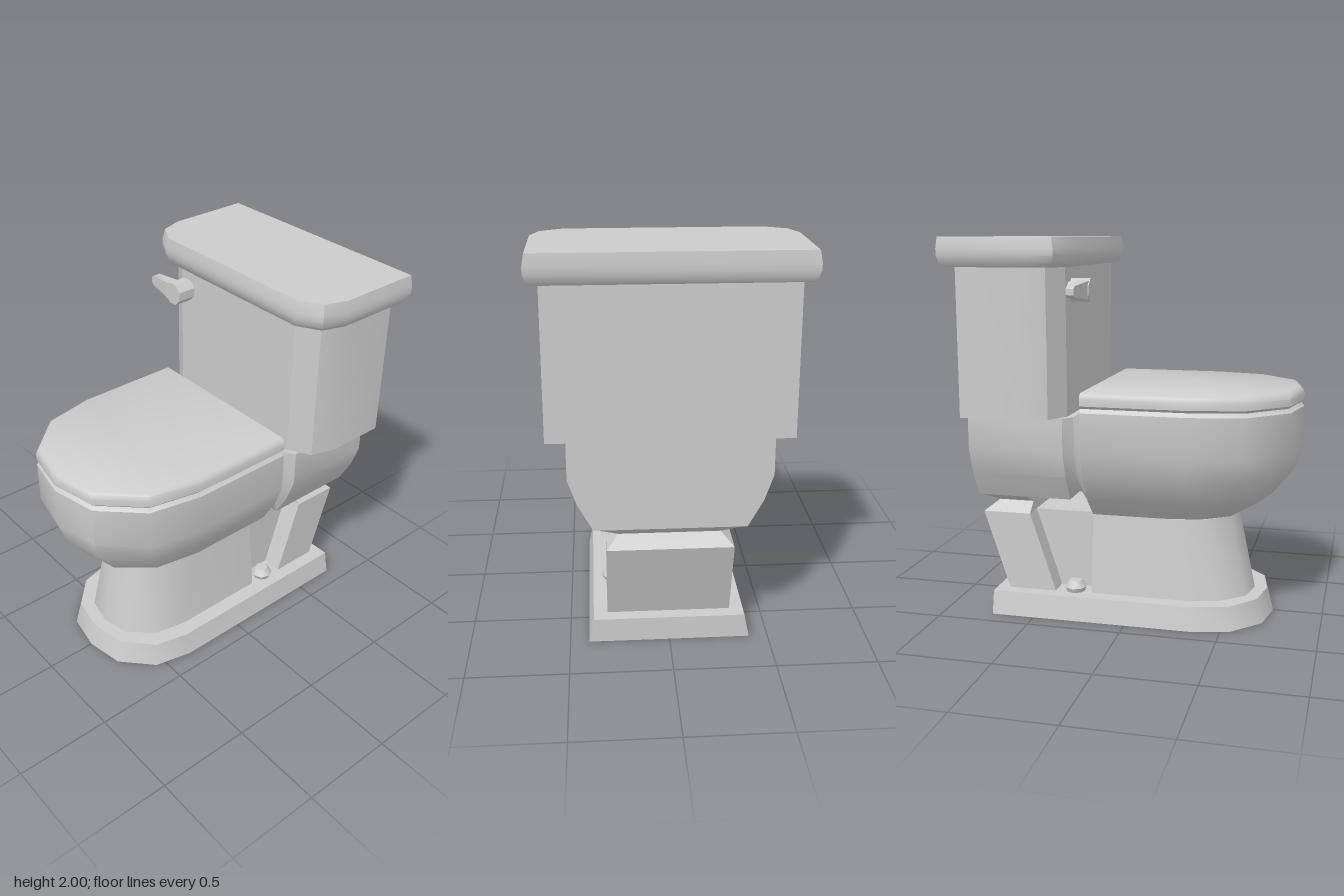
import * as THREE from 'three';
import { toCreasedNormals } from 'three/addons/utils/BufferGeometryUtils.js';

const material = new THREE.MeshStandardMaterial({ color: 0xcccccc });

// Closed solid through rings of [x, y, z] points, capped at both ends
function loft(rings, crease = 0.7) {
  const n = rings[0].length, pos = [];
  const tri = (a, b, c) => pos.push(...a, ...b, ...c);
  for (let r = 0; r < rings.length - 1; r++) {
    for (let i = 0; i < n; i++) {
      const j = (i + 1) % n, a = rings[r], b = rings[r + 1];
      tri(a[i], b[j], a[j]);
      tri(a[i], b[i], b[j]);
    }
  }
  const cap = (ring, flip) => {
    const c = [0, 1, 2].map(k => ring.reduce((s, p) => s + p[k], 0) / n);
    ring.forEach((p, i) => {
      const q = ring[(i + 1) % n];
      flip ? tri(c, q, p) : tri(c, p, q);
    });
  };
  cap(rings[0], false);
  cap(rings[rings.length - 1], true);
  // Turn the faces outward if the rings run the other way round
  let volume = 0;
  const v = i => new THREE.Vector3().fromArray(pos, i);
  for (let i = 0; i < pos.length; i += 9) volume += v(i).dot(v(i + 3).cross(v(i + 6)));
  if (volume < 0) {
    for (let i = 0; i < pos.length; i += 9) {
      for (let k = 0; k < 3; k++) [pos[i + 3 + k], pos[i + 6 + k]] = [pos[i + 6 + k], pos[i + 3 + k]];
    }
  }
  const g = new THREE.BufferGeometry();
  g.setAttribute('position', new THREE.Float32BufferAttribute(pos, 3));
  return toCreasedNormals(g, crease);
}

// Mirrors a half outline (from +x side) across x = 0
const mirror = half => [...half, ...half.filter(p => p[0] > 0).reverse().map(([x, y, z]) => [-x, y, z])];

// Horizontal outline: square back, faceted round front
function roundFront(y, w, back, shoulder, front) {
  const d = front - shoulder;
  return mirror([
    [w, y, back], [w, y, shoulder], [w * 0.885, y, shoulder + d * 0.52],
    [w * 0.5, y, shoulder + d * 0.905], [0, y, front],
  ]);
}

// Horizontal outline of the tank: square back, softened front corners
const tankRing = (y, w, back, front) => mirror([
  [w, y, back], [w, y, front - 0.185], [w - 0.04, y, front - 0.065], [w - 0.155, y, front],
]);

const rect = (y, w, back, front) => mirror([[w, y, back], [w, y, front]]);

export function createModel() {
  const model = new THREE.Group();
  const add = (name, geometry, x = 0, y = 0, z = 0) => {
    const mesh = new THREE.Mesh(geometry, material);
    mesh.name = name;
    mesh.position.set(x, y, z);
    model.add(mesh);
    return mesh;
  };

  // Foot and pedestal
  add('basePlinth', loft([
    roundFront(0, 0.405, -0.73, 0.35, 0.735),
    roundFront(0.125, 0.38, -0.73, 0.35, 0.70),
  ]));
  add('pedestal', loft([
    roundFront(0.12, 0.30, -0.205, 0.30, 0.635),
    roundFront(0.55, 0.255, -0.205, 0.22, 0.545),
  ]));
  add('pedestalCore', loft([rect(0.12, 0.2, -0.5, -0.19), rect(0.545, 0.2, -0.6, -0.19)]));
  add('rearSupport', loft([
    rect(0.12, 0.31, -0.66, -0.40),
    rect(0.545, 0.31, -0.80, -0.54),
    rect(0.60, 0.25, -0.73, -0.54),
  ], 0.3));

  // Bowl: [y, half width, shoulder z, front z]
  add('bowl', loft([
    [0.545, 0.25, 0.17, 0.54], [0.66, 0.37, 0.27, 0.72], [0.79, 0.445, 0.32, 0.825],
    [0.92, 0.49, 0.35, 0.87], [1.135, 0.49, 0.35, 0.87], [1.148, 0.478, 0.345, 0.855],
    [1.162, 0.47, 0.34, 0.845],
  ].map(([y, w, s, f]) => roundFront(y, w, -0.205, s, f))));

  // Closed lid with rounded rim
  add('lid', loft([
    [1.156, 0.476, 0.855], [1.17, 0.49, 0.87], [1.205, 0.49, 0.87], [1.225, 0.482, 0.86], [1.235, 0.468, 0.845],
  ].map(([y, w, f]) => roundFront(y, w, -0.205, 0.35, f))));

  for (const s of [-1, 1]) {
    add('hinge', new THREE.BoxGeometry(0.2, 0.04, 0.04), s * 0.23, 1.135, -0.215);
  }

  // Body under the tank, with a groove where it joins the bowl
  const bodyRing = (z, inset, top, bottom) => mirror([
    [0.49 - inset, top, z], [0.49 - inset, 0.92, z], [0.445 - inset, 0.79, z], [0.37 - inset, bottom, z],
  ]);
  add('tankSupport', loft([
    bodyRing(-0.2, 0, 1.14, 0.655),
    bodyRing(-0.25, 0.045, 1.105, 0.70),
    bodyRing(-0.295, 0, 1.105, 0.655),
    bodyRing(-0.80, 0, 1.105, 0.655),
  ]));
  add('supportNeck', loft([rect(0.66, 0.37, -0.80, -0.54), rect(0.60, 0.25, -0.73, -0.54)], 0.3));

  // Tank and its cover
  add('tank', loft([tankRing(1.105, 0.587, -0.80, -0.285), tankRing(1.87, 0.587, -0.80, -0.285)], 0.5));
  add('tankCover', loft([
    [1.855, 0.622, -0.845, -0.25], [1.875, 0.638, -0.86, -0.235], [1.91, 0.648, -0.87, -0.225],
    [1.945, 0.648, -0.87, -0.225], [2.0, 0.638, -0.865, -0.235],
  ].map(([y, w, b, f]) => tankRing(y, w, b, f))));

  // Flush lever: octagonal knob, stem and tapered arm
  const disc = (r, depth) => toCreasedNormals(
    new THREE.CylinderGeometry(r, r, depth, 8).rotateY(Math.PI / 8).rotateX(Math.PI / 2), 0.5);
  add('leverKnob', disc(0.062, 0.1), -0.37, 1.74, -0.217);
  add('leverStem', disc(0.042, 0.06), -0.37, 1.74, -0.275);
  const armRing = (x, h, back, front) => [
    [x, 1.74 - h, back], [x, 1.74 + h, back], [x, 1.74 + h, front], [x, 1.74 - h, front],
  ];
  add('leverArm', loft([
    armRing(-0.585, 0.015, -0.235, -0.195), armRing(-0.57, 0.028, -0.235, -0.194),
    armRing(-0.42, 0.045, -0.235, -0.172), armRing(-0.37, 0.05, -0.235, -0.17),
  ]));

  // Floor bolt caps
  const boltProfile = [[0, 0], [0.05, 0], [0.06, 0.025], [0.035, 0.06], [0, 0.062]]
    .map(([r, y]) => new THREE.Vector2(r, y));
  for (const s of [-1, 1]) {
    add('boltCap', toCreasedNormals(new THREE.LatheGeometry(boltProfile, 8), 0.8), s * 0.275, 0.124, -0.3);
  }

  // Centre the depth of the whole model
  const box = new THREE.Box3().setFromObject(model);
  const mid = (box.min.z + box.max.z) / 2;
  model.children.forEach(m => { m.position.z -= mid; });
  return model;
}
